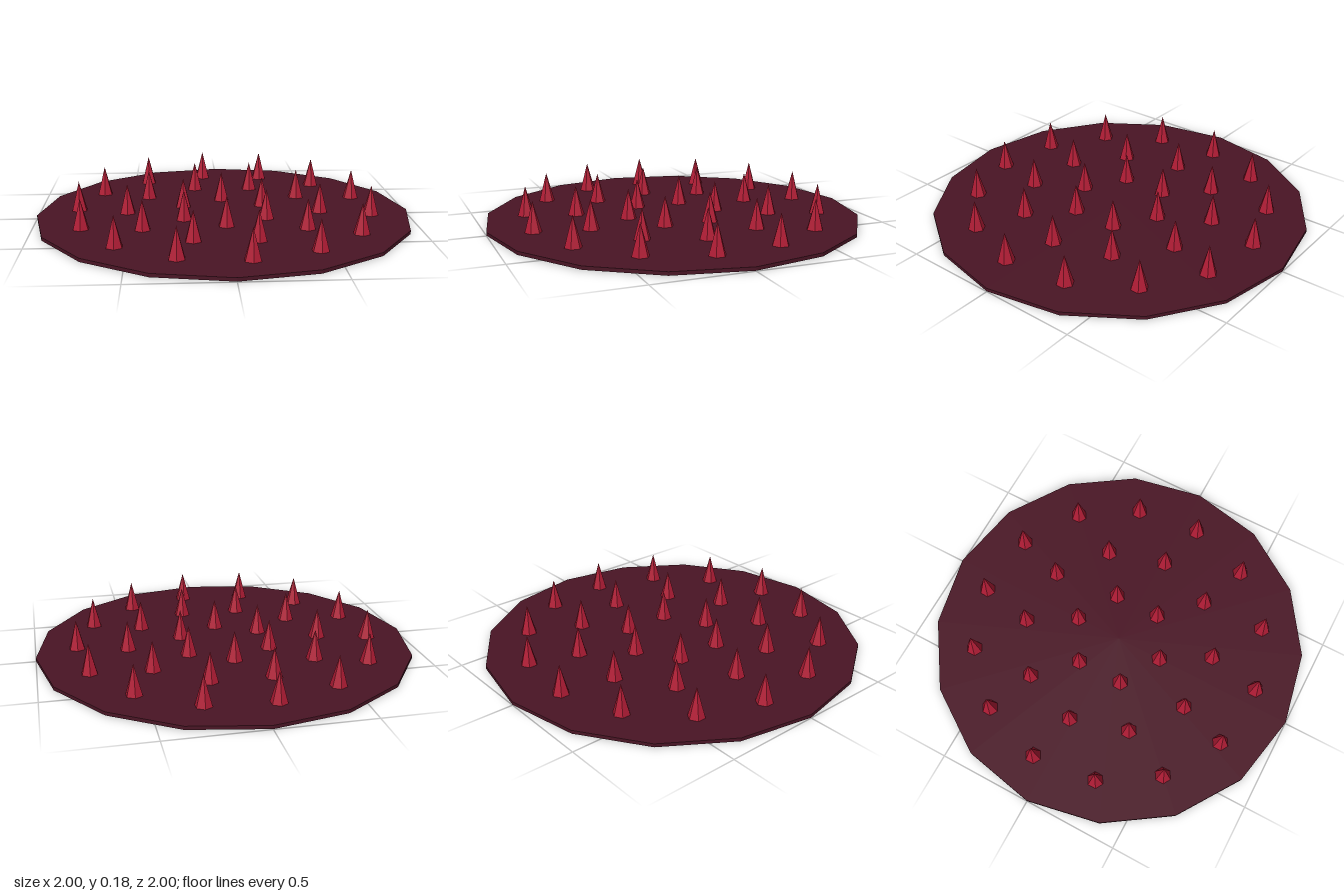
import * as THREE from 'three';

export function createModel() {
  const model = new THREE.Group();
  model.name = 'spikeTrap';
  const discMaterial = new THREE.MeshStandardMaterial({ color: 0x4a1525, flatShading: true });
  const spikeMaterial = new THREE.MeshStandardMaterial({ color: 0xb01c35, flatShading: true });

  // Thin sixteen-sided base, raised a hair so the spike bottoms show beneath it
  const disc = new THREE.Mesh(new THREE.CylinderGeometry(1, 1, 0.018, 16), discMaterial);
  disc.name = 'baseDisc';
  disc.position.y = 0.011;
  model.add(disc);

  // Three concentric rings of six-sided spikes
  const spikeGeometry = new THREE.ConeGeometry(0.05, 0.18, 6).translate(0, 0.09, 0);
  const rings = [
    { name: 'innerSpikes', count: 6, radius: 0.25, start: Math.PI / 6 },
    { name: 'middleSpikes', count: 10, radius: 0.518, start: 0.034 },
    { name: 'outerSpikes', count: 14, radius: 0.786, start: 0.112 },
  ];
  for (const { name, count, radius, start } of rings) {
    const ring = new THREE.Group();
    ring.name = name;
    for (let i = 0; i < count; i++) {
      const angle = start + (i / count) * Math.PI * 2;
      const spike = new THREE.Mesh(spikeGeometry, spikeMaterial);
      spike.name = 'spike';
      spike.position.set(Math.cos(angle) * radius, 0, Math.sin(angle) * radius);
      ring.add(spike);
    }
    model.add(ring);
  }
  return model;
}
